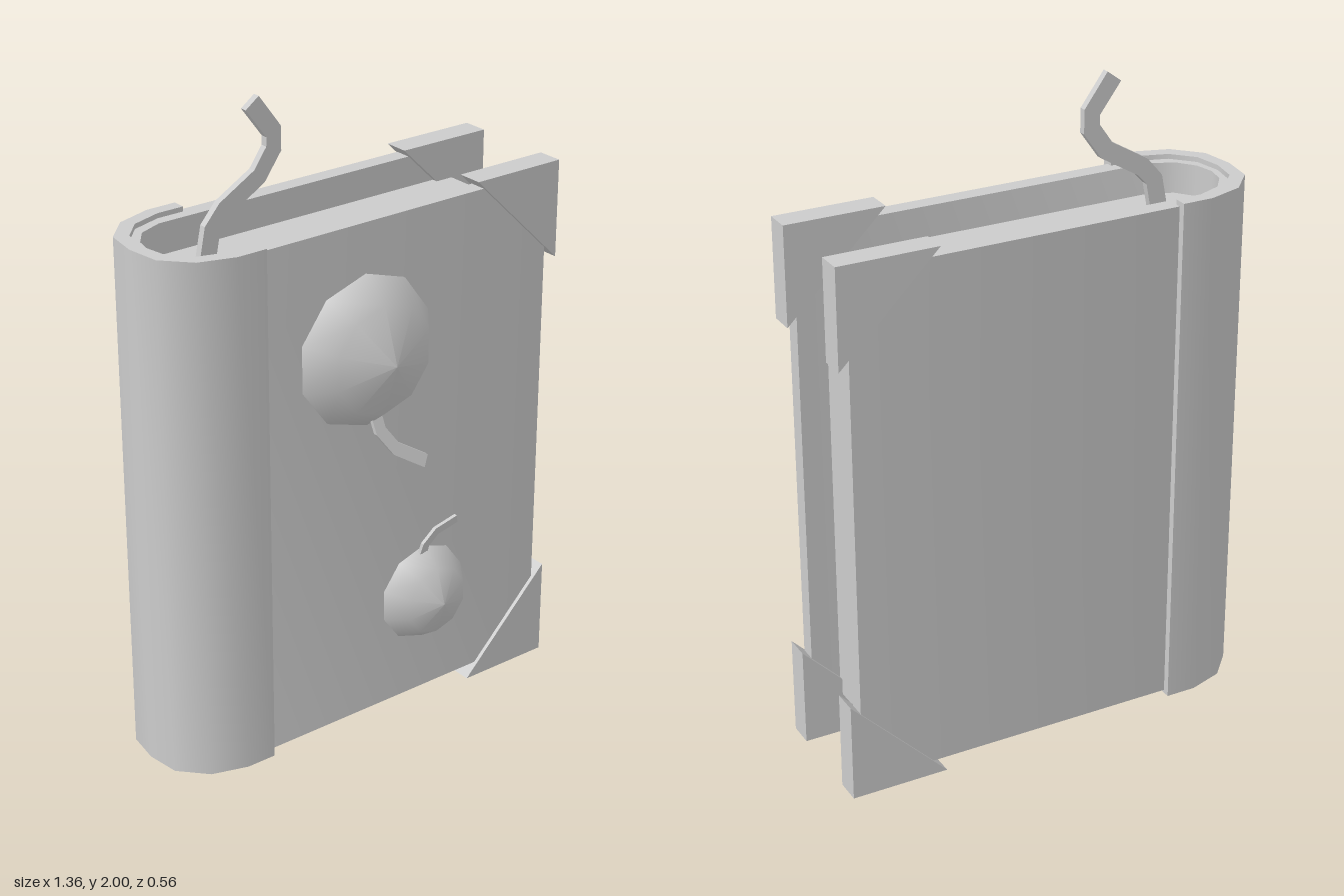
import * as THREE from 'three';
import { toCreasedNormals } from 'three/addons/utils/BufferGeometryUtils.js';

const material = new THREE.MeshStandardMaterial({ color: 0xcccccc });
const MID_Z = -0.065; // middle of the book's thickness

function add(group, name, geometry) {
  const mesh = new THREE.Mesh(geometry, material);
  mesh.name = name;
  group.add(mesh);
  return mesh;
}

function extrude(points, depth) {
  const shape = new THREE.Shape(points.map(([x, y]) => new THREE.Vector2(x, y)));
  return new THREE.ExtrudeGeometry(shape, { depth, bevelEnabled: false });
}

// Half of a U outline mirrored across the middle plane: open end to open end
function mirrorU(half) {
  return [...half, ...half.slice(0, -1).reverse().map(([x, z]) => [x, -z])];
}

// Upright extrusion of an (x, z) outline between two heights
function upright(points, y0, y1) {
  const g = extrude(points, y1 - y0);
  g.rotateX(Math.PI / 2);
  g.translate(0, y1, MID_Z);
  return toCreasedNormals(g, 0.75);
}

// Flat bent strip following a path in the front plane, leaning by lean per unit height
function strip(path, width, thickness, z, lean = 0) {
  const left = [], right = [];
  path.forEach(([x, y], i) => {
    const a = path[Math.max(i - 1, 0)], b = path[Math.min(i + 1, path.length - 1)];
    const dx = b[0] - a[0], dy = b[1] - a[1];
    const k = width / 2 / Math.hypot(dx, dy);
    left.push([x - dy * k, y + dx * k]);
    right.push([x + dy * k, y - dx * k]);
  });
  const g = extrude([...left, ...right.reverse()], thickness);
  const p = g.attributes.position;
  for (let i = 0; i < p.count; i++) {
    p.setZ(i, p.getZ(i) + z - thickness / 2 + lean * (p.getY(i) - path[0][1]));
  }
  g.computeVertexNormals();
  return g;
}

// Ten-sided dome facing the front
function dome(x, y, profile) {
  const g = new THREE.LatheGeometry(profile.map(([r, z]) => new THREE.Vector2(r, z)), 10);
  g.rotateX(Math.PI / 2);
  g.translate(x, y, 0);
  return g;
}

export function createModel() {
  const book = new THREE.Group();
  book.name = 'book';

  // Half outlines (x, distance from the middle plane), from the open side to the spine
  const spineOuter = [[-0.385, 0.22], [-0.48, 0.22], [-0.59, 0.185], [-0.665, 0.105], [-0.68, 0]];
  const spineInner = [[-0.385, 0.18], [-0.47, 0.18], [-0.565, 0.15], [-0.625, 0.085], [-0.64, 0]];
  const coverOuter = [[0.645, 0.198], [-0.48, 0.198], [-0.575, 0.16], [-0.632, 0.09], [-0.648, 0]];
  const coverInner = [[0.645, 0.145], [-0.49, 0.145], [-0.565, 0.115], [-0.607, 0.06], [-0.62, 0]];

  // Cover, spine wrap and page block
  add(book, 'cover', upright([...mirrorU(coverOuter), ...mirrorU(coverInner).reverse()], 0.04, 1.64));
  add(book, 'spine', upright([...mirrorU(spineOuter), ...mirrorU(spineInner).reverse()], 0.03, 1.655));
  const pageHalf = [[0.555, 0.145], ...coverInner.slice(1)];
  add(book, 'pages', upright(mirrorU(pageHalf), 0.13, 1.545));

  // Triangular corner guards on both boards
  for (const [side, z] of [['front', 0.065], ['back', -0.272]]) {
    const top = extrude([[0.37, 1.67], [0.68, 1.365], [0.68, 1.67]], 0.08);
    const bottom = extrude([[0.375, 0], [0.68, 0], [0.68, 0.31]], 0.08);
    add(book, side + 'TopCorner', top).position.z = z;
    add(book, side + 'BottomCorner', bottom).position.z = z;
  }

  // Domed fruit ornaments with bent stems
  add(book, 'largeFruit', dome(-0.03, 1.25, [[0.237, 0.12], [0.235, 0.14], [0.168, 0.222], [0, 0.278]]));
  add(book, 'largeStem', strip(
    [[-0.02, 1.06], [-0.015, 1.01], [0.025, 0.95], [0.12, 0.89]], 0.038, 0.014, 0.165, -0.35));
  add(book, 'smallFruit', dome(0.195, 0.38, [[0.158, 0.12], [0.157, 0.135], [0.108, 0.205], [0, 0.24]]));
  add(book, 'smallStem', strip(
    [[0.185, 0.52], [0.19, 0.55], [0.225, 0.59], [0.3, 0.61]], 0.028, 0.012, 0.143, 0.2));

  // Ribbon bookmark rising from the pages
  add(book, 'bookmark', strip(
    [[-0.44, 1.53], [-0.415, 1.655], [-0.375, 1.7], [-0.255, 1.77], [-0.205, 1.84],
      [-0.205, 1.89], [-0.275, 1.985]], 0.055, 0.022, -0.067));

  return book;
}
